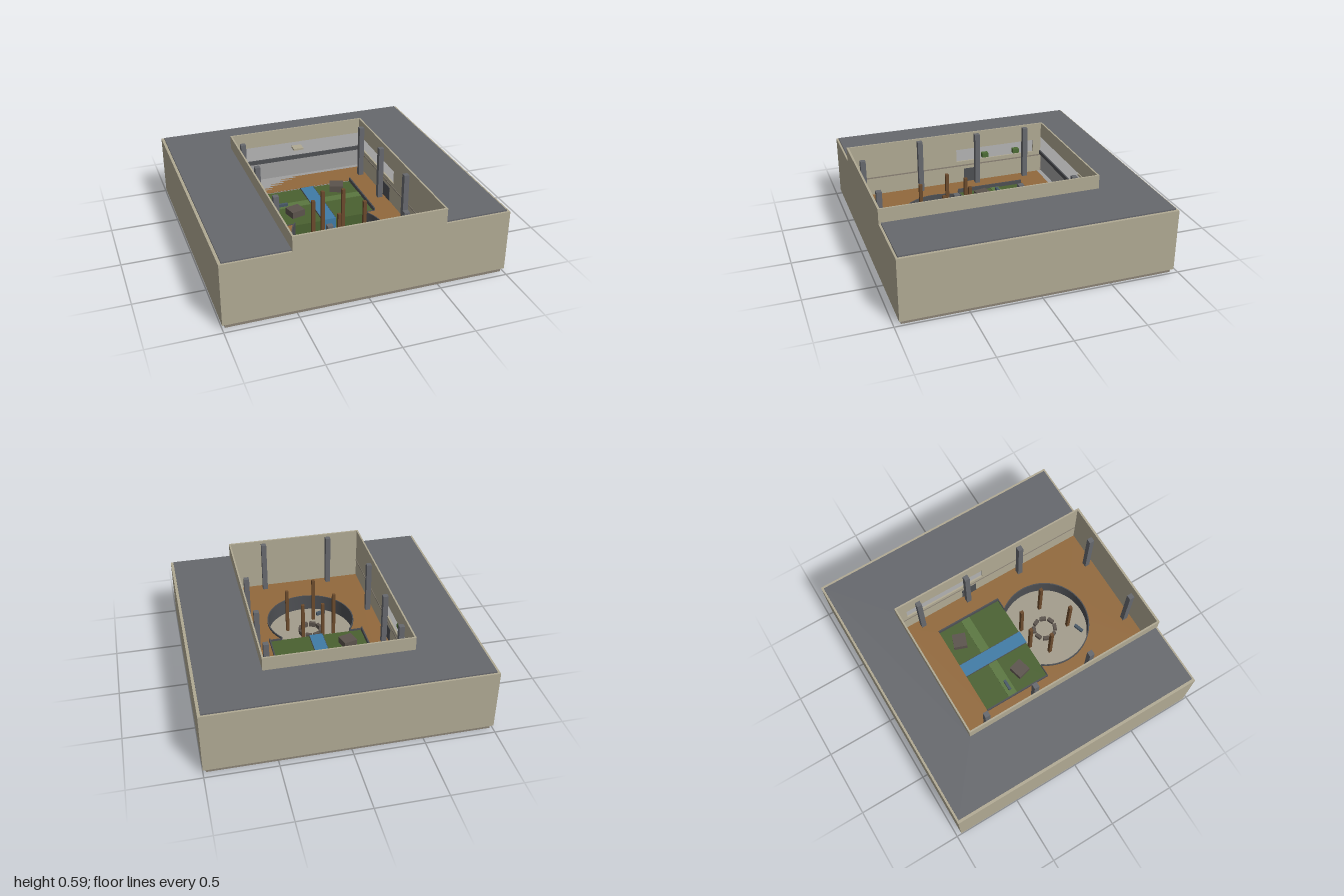
import * as THREE from 'three';

const mat = (color) => new THREE.MeshStandardMaterial({ color });
const M = {
  wall: mat(0xb0a993), base: mat(0x8a8275), roof: mat(0x66686d), deck: mat(0x92693c),
  paving: mat(0xa0a0a0), grass: mat(0x4a6130), path: mat(0x5b7740), water: mat(0x3f7ba6),
  stone: mat(0xa39c8c), rock: mat(0x5b534c), dark: mat(0x4d4f53), wood: mat(0x6b4a2c),
  bench: mat(0x485866), plant: mat(0x4c6b35),
};

export function createModel() {
  const model = new THREE.Group();

  const add = (name, geometry, material) => {
    const mesh = new THREE.Mesh(geometry, material);
    mesh.name = name;
    model.add(mesh);
    return mesh;
  };
  // Box given by its limits on each axis
  const block = (name, material, [x0, x1], [y0, y1], [z0, z1]) => {
    const mesh = add(name, new THREE.BoxGeometry(x1 - x0, y1 - y0, z1 - z0), material);
    mesh.position.set((x0 + x1) / 2, (y0 + y1) / 2, (z0 + z1) / 2);
    return mesh;
  };
  // Box standing on a level, turned about the vertical
  const stand = (name, material, x, y, z, w, h, d, turn = 0) => {
    const mesh = add(name, new THREE.BoxGeometry(w, h, d), material);
    mesh.position.set(x, y + h / 2, z);
    mesh.rotation.y = turn;
    return mesh;
  };
  const polygon = (points, Type = THREE.Shape) =>
    new Type(points.map(([x, y]) => new THREE.Vector2(x, y)));
  const rect = (x0, x1, y0, y1, Type) =>
    polygon([[x0, y0], [x1, y0], [x1, y1], [x0, y1]], Type);
  // Plan shapes use (x, -z)
  const slab = (name, material, shape, y0, y1) => {
    const g = new THREE.ExtrudeGeometry(shape, { depth: y1 - y0, bevelEnabled: false, curveSegments: 48 });
    add(name, g.rotateX(-Math.PI / 2), material).position.y = y0;
  };

  const DECK = 0.18, PIT = 0.07, UPPER = 0.345;

  // Foundation and outer walls; the front wall steps up across the courtyard
  block('foundation', M.base, [-0.98, 0.98], [0, 0.035], [-0.95, 0.95]);
  block('backWall', M.wall, [-1, 1], [0.03, 0.48], [-0.965, -0.95]);
  for (const s of [-1, 1]) {
    const xs = s > 0 ? [0.98, 1] : [-1, -0.98];
    block('sideWall', M.wall, xs, [0.03, 0.48], [-0.95, 0.95]);
  }
  const front = polygon([[-1, 0.03], [1, 0.03], [1, 0.48], [0.53, 0.48], [0.53, 0.59],
    [-0.53, 0.59], [-0.53, 0.48], [-1, 0.48]]);
  add('frontWall', new THREE.ExtrudeGeometry(front, { depth: 0.015, bevelEnabled: false }), M.wall)
    .position.z = 0.95;

  // Flat roof around three sides of the courtyard
  const roof = polygon([[-0.98, -0.95], [-0.53, -0.95], [-0.53, 0.595], [0.53, 0.595],
    [0.53, -0.95], [0.98, -0.95], [0.98, 0.95], [-0.98, 0.95]]);
  slab('roof', M.roof, roof, 0.47, 0.49);

  // Courtyard walls with upper openings
  for (const s of [-1, 1]) {
    const side = rect(-0.585, 0.95, DECK, 0.59);
    side.holes.push(rect(-0.52, 0.12, UPPER + 0.01, 0.455, THREE.Path));
    const g = new THREE.ExtrudeGeometry(side, { depth: 0.012, bevelEnabled: false });
    add('courtyardSideWall', g.rotateY(-Math.PI / 2), M.wall).position.x = s > 0 ? 0.53 : -0.518;
    const xs = s > 0 ? [0.515, 0.52] : [-0.52, -0.515];
    block('wallTrim', M.base, xs, [0.315, 0.325], [-0.58, 0.95]);
    block('door', M.dark, xs, [DECK, 0.29], [-0.06, 0.06]);
  }
  block('courtyardBackParapet', M.wall, [-0.53, 0.53], [0.47, 0.59], [-0.597, -0.585]);

  // Upper gallery behind the courtyard walls
  const gallery = polygon([[-0.98, -0.95], [-0.53, -0.95], [-0.53, 0.585], [0.53, 0.585],
    [0.53, -0.95], [0.98, -0.95], [0.98, 0.95], [-0.98, 0.95]]);
  slab('galleryFloor', M.paving, gallery, UPPER - 0.02, UPPER);
  block('galleryRail', M.dark, [-0.52, 0.52], [UPPER - 0.02, UPPER + 0.012], [-0.585, -0.575]);
  block('galleryTable', M.wall, [0, 0.08], [UPPER, UPPER + 0.015], [-0.75, -0.68]);
  for (const z of [-0.39, -0.13]) stand('planter', M.plant, -0.57, UPPER, z, 0.04, 0.035, 0.05);
  block('lowerBackWall', M.paving, [-0.53, 0.53], [DECK - 0.02, UPPER - 0.02], [-0.61, -0.595]);

  // Timber deck wrapped around the garden and the round pit
  const cut = Math.acos(0.2 / 0.33);
  const deck = rect(-0.52, 0.52, -0.95, 0.56);
  const opening = new THREE.Path();
  opening.moveTo(-0.355, 0.36);
  opening.lineTo(-0.355, -0.16);
  opening.absarc(0, -0.36, 0.33, Math.PI / 2 + cut, Math.PI / 2 - cut + Math.PI * 2, false);
  opening.lineTo(0.355, -0.16);
  opening.lineTo(0.355, 0.36);
  opening.closePath();
  deck.holes.push(opening);
  slab('deck', M.deck, deck, DECK - 0.02, DECK);
  block('backTerrace', M.paving, [-0.355, 0.355], [0.035, DECK], [-0.595, -0.36]);
  block('terraceEdge', M.paving, [-0.52, 0.52], [0.035, DECK], [-0.595, -0.56]);

  // Sunken round pit with its retaining wall
  const floor = add('pitFloor', new THREE.CylinderGeometry(0.33, 0.33, PIT - 0.035, 64), M.stone);
  floor.position.set(0, (PIT + 0.035) / 2, 0.36);
  const rim = new THREE.Shape();
  rim.absarc(0, -0.36, 0.334, Math.PI / 2 + cut, Math.PI / 2 - cut + Math.PI * 2, false);
  rim.absarc(0, -0.36, 0.326, Math.PI / 2 - cut + Math.PI * 2, Math.PI / 2 + cut, true);
  slab('pitRim', M.dark, rim, 0.04, DECK + 0.015);

  // Garden terrace with path, stream and falling water
  block('garden', M.grass, [-0.355, 0.355], [0.035, 0.17], [-0.36, 0.16]);
  block('gardenPath', M.path, [-0.355, 0.355], [0.165, 0.174], [-0.17, -0.1]);
  block('stream', M.water, [-0.05, 0.05], [0.165, 0.178], [-0.365, 0.163]);
  block('waterfall', M.water, [-0.05, 0.05], [PIT, 0.178], [0.158, 0.165]);
  for (const s of [-1, 1]) {
    block('gardenKerb', M.dark, s > 0 ? [0.352, 0.362] : [-0.362, -0.352], [0.15, 0.2], [-0.36, 0.16]);
    block('gardenFrontKerb', M.dark, s > 0 ? [0.262, 0.36] : [-0.36, -0.262], [0.15, 0.185], [0.157, 0.163]);
    block('streamEdge', M.dark, s > 0 ? [0.05, 0.053] : [-0.053, -0.05], [0.165, 0.18], [-0.36, 0.16]);
  }
  stand('gardenRock', M.rock, 0.21, 0.17, -0.265, 0.105, 0.05, 0.1, -0.35);
  stand('gardenRock', M.rock, -0.21, 0.17, 0.005, 0.105, 0.05, 0.1, 0.26);
  stand('gardenBench', M.bench, -0.265, 0.17, -0.135, 0.08, 0.025, 0.02);
  stand('pitBench', M.bench, -0.132, PIT, 0.587, 0.075, 0.025, 0.022, 0.32);

  // Ring of stones at the centre of the pit
  for (let i = 0; i < 8; i++) {
    const a = (i + 0.5) * Math.PI / 4;
    stand('ringStone', M.rock, 0.08 * Math.cos(a), PIT, 0.36 + 0.08 * Math.sin(a),
      0.025, 0.035, 0.048, -a);
  }

  // Timber posts in the pit
  for (const [x, z] of [[-0.06, 0.19], [0.09, 0.205], [-0.17, 0.3], [0.17, 0.42], [-0.06, 0.53]])
    stand('timberPost', M.wood, x, PIT, z, 0.024, 0.36, 0.024);

  // Courtyard columns
  for (const s of [-1, 1])
    for (const [x, z] of [[0.475, -0.43], [0.475, -0.035], [0.475, 0.42], [0.262, 0.9]])
      stand('column', M.roof, s * x, DECK, z, 0.038, 0.405, 0.038);

  return model;
}
